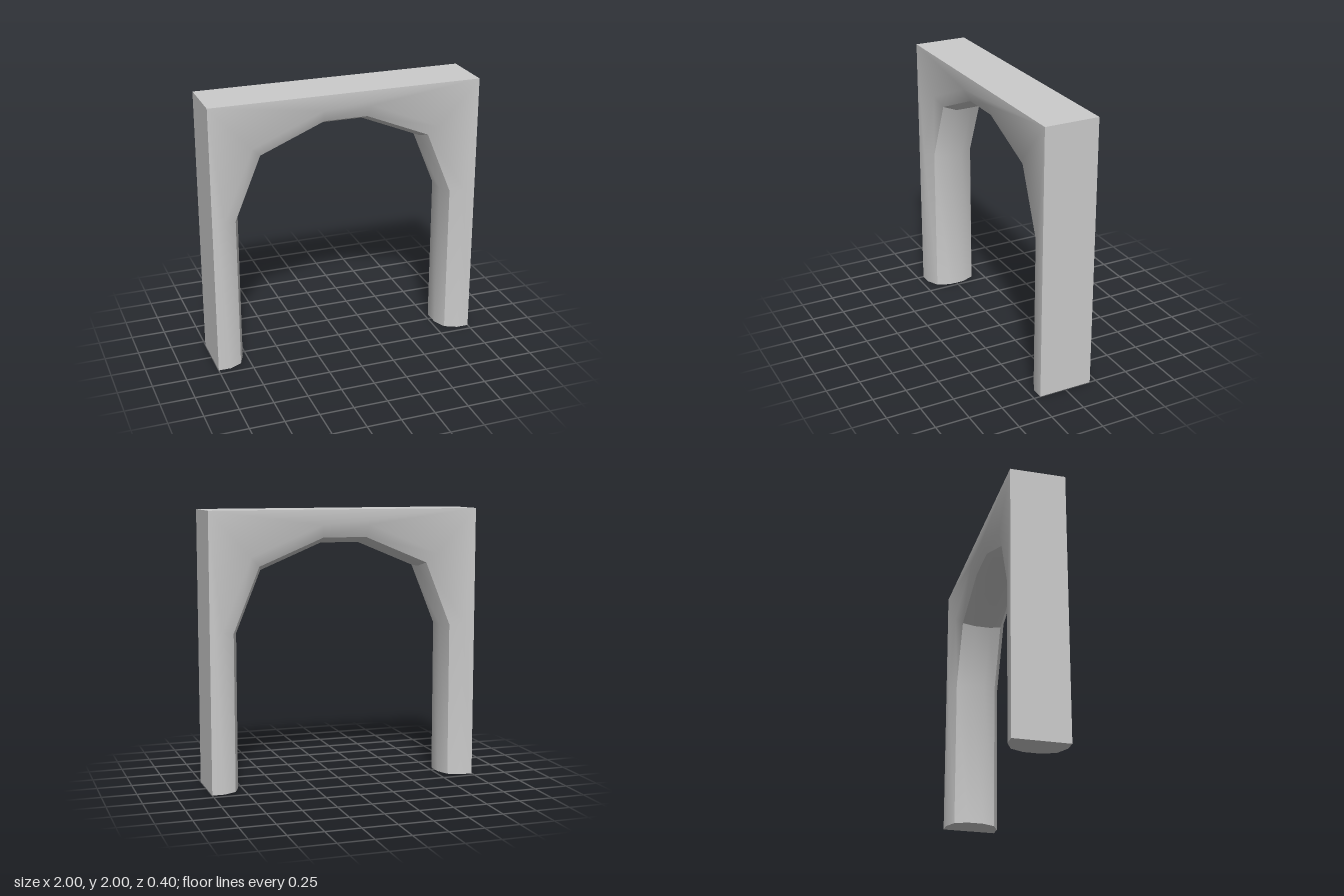
import * as THREE from 'three';
import { mergeGeometries, mergeVertices, toCreasedNormals } from 'three/addons/utils/BufferGeometryUtils.js';

// Opening edge, from the base of one pillar over the arch to the other
const half = [[-0.82, 0], [-0.82, 1.14], [-0.63, 1.605], [-0.16, 1.8]];
const path = [...half, ...half.map(([x, y]) => [-x, y]).reverse()]
  .map(([x, y]) => new THREE.Vector2(x, y));

// Rounded inner edge: [distance outward from the opening edge, z], front to back
const section = [[0.09, 0.2], [0, 0.155], [-0.04, 0.06], [-0.04, -0.06], [0, -0.155], [0.09, -0.2]];

// Path moved outward by d, with mitred corners
function offsetPath(d) {
  const normals = path.slice(1).map((p, i) => {
    const t = p.clone().sub(path[i]).normalize();
    return new THREE.Vector2(-t.y, t.x);
  });
  return path.map((p, i) => {
    const a = normals[Math.max(i - 1, 0)];
    const b = normals[Math.min(i, normals.length - 1)];
    const miter = a.clone().add(b);
    return p.clone().addScaledVector(miter, d / (1 + a.dot(b)));
  });
}

// Skin of the opening, lofted through the offset paths
function openingSkin() {
  const pos = [], index = [], n = path.length;
  section.forEach(([d, z]) => offsetPath(d).forEach((p) => pos.push(p.x, p.y, z)));
  for (let j = 0; j < section.length - 1; j++) {
    for (let i = 0; i < n - 1; i++) {
      const a = j * n + i, b = a + n;
      index.push(a, b, a + 1, b, b + 1, a + 1);
    }
  }
  const g = new THREE.BufferGeometry();
  g.setAttribute('position', new THREE.Float32BufferAttribute(pos, 3));
  g.setIndex(index);
  return g;
}

function flatFace(points) {
  return new THREE.ShapeGeometry(new THREE.Shape(points.map(([x, y]) => new THREE.Vector2(x, y))));
}

export function createModel() {
  // Front and back walls
  const wall = [...offsetPath(section[0][0]).map((p) => [p.x, p.y]), [1, 0], [1, 2], [-1, 2], [-1, 0]];
  const parts = [
    openingSkin(),
    flatFace(wall).translate(0, 0, 0.2),
    flatFace(wall).translate(0, 0, 0.2).rotateY(Math.PI),
    // Top
    new THREE.PlaneGeometry(2, 0.4).rotateX(-Math.PI / 2).translate(0, 2, 0),
  ];
  for (const s of [-1, 1]) {
    // Outer side and underside of each pillar
    parts.push(new THREE.PlaneGeometry(0.4, 2).rotateY(s * Math.PI / 2).translate(s, 1, 0));
    const foot = [[s, 0.2], ...section.map(([d, z]) => [s * (0.82 + d), z]), [s, -0.2]];
    parts.push(flatFace(foot).rotateX(Math.PI / 2));
  }

  const bare = parts.map((g) => {
    const flat = g.toNonIndexed();
    flat.deleteAttribute('uv');
    flat.deleteAttribute('normal');
    return flat;
  });
  const geometry = toCreasedNormals(mergeVertices(mergeGeometries(bare)), 0.7);

  const arch = new THREE.Mesh(geometry, new THREE.MeshStandardMaterial({ color: 0xcccccc }));
  arch.name = 'archway';
  const group = new THREE.Group();
  group.name = 'archwayModel';
  group.add(arch);
  return group;
}
